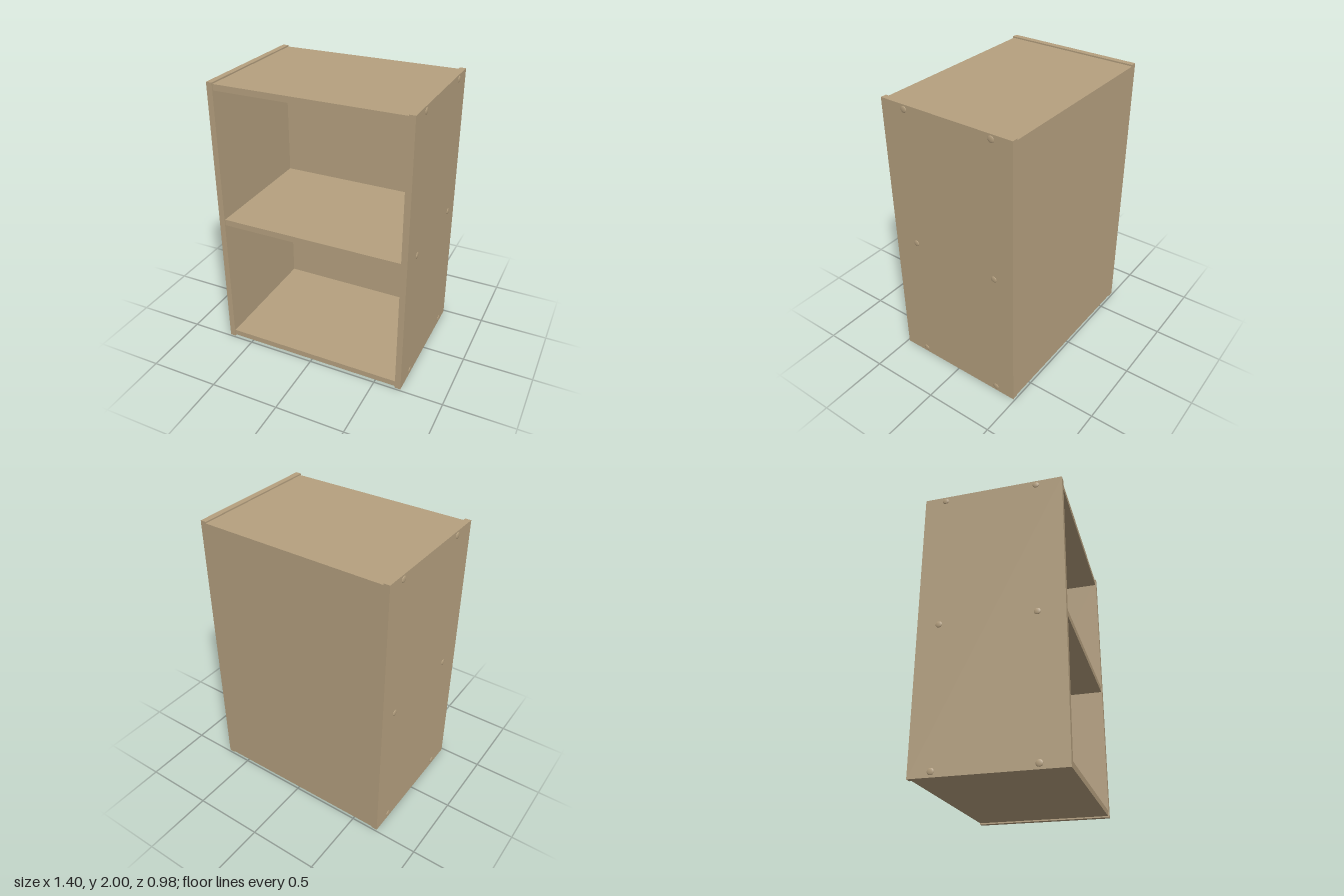
import * as THREE from 'three';

export function createModel() {
  const group = new THREE.Group();
  const wood = new THREE.MeshStandardMaterial({ color: 0xb5a07f });
  wood.name = 'light wood';

  // Box given by its minimum and maximum corners
  function board(name, [x0, y0, z0], [x1, y1, z1]) {
    const mesh = new THREE.Mesh(new THREE.BoxGeometry(x1 - x0, y1 - y0, z1 - z0), wood);
    mesh.position.set((x0 + x1) / 2, (y0 + y1) / 2, (z0 + z1) / 2);
    mesh.name = name;
    group.add(mesh);
  }

  const inner = 0.651, outer = 0.693, back = -0.488, front = 0.488;

  // Side panels
  board('leftSide', [inner, 0, back], [outer, 2, front]);
  board('rightSide', [-outer, 0, back], [-inner, 2, front]);

  // Horizontal boards, set slightly behind the front edge of the sides
  const shelves = [['bottomBoard', 0.01, 0.052], ['middleShelf', 0.974, 1.018], ['topBoard', 1.948, 1.99]];
  for (const [name, y0, y1] of shelves) board(name, [-inner, y0, back], [inner, y1, 0.482]);

  // Back panels between the boards
  board('lowerBack', [-inner, 0.052, back], [inner, 0.974, -0.444]);
  board('upperBack', [-inner, 1.018, back], [inner, 1.948, -0.444]);

  // Shallow domed screw caps on both sides
  const cap = new THREE.SphereGeometry(0.022, 20, 8, 0, Math.PI * 2, 0, Math.PI / 2);
  cap.scale(1, 0.25, 1);
  cap.rotateZ(-Math.PI / 2);
  for (const side of [1, -1])
    for (const y of [0.036, 0.995, 1.968])
      for (const z of [0.307, -0.34]) {
        const mesh = new THREE.Mesh(cap, wood);
        mesh.name = 'screwCap';
        mesh.position.set(side * outer, y, z);
        if (side < 0) mesh.rotation.y = Math.PI;
        group.add(mesh);
      }

  return group;
}
